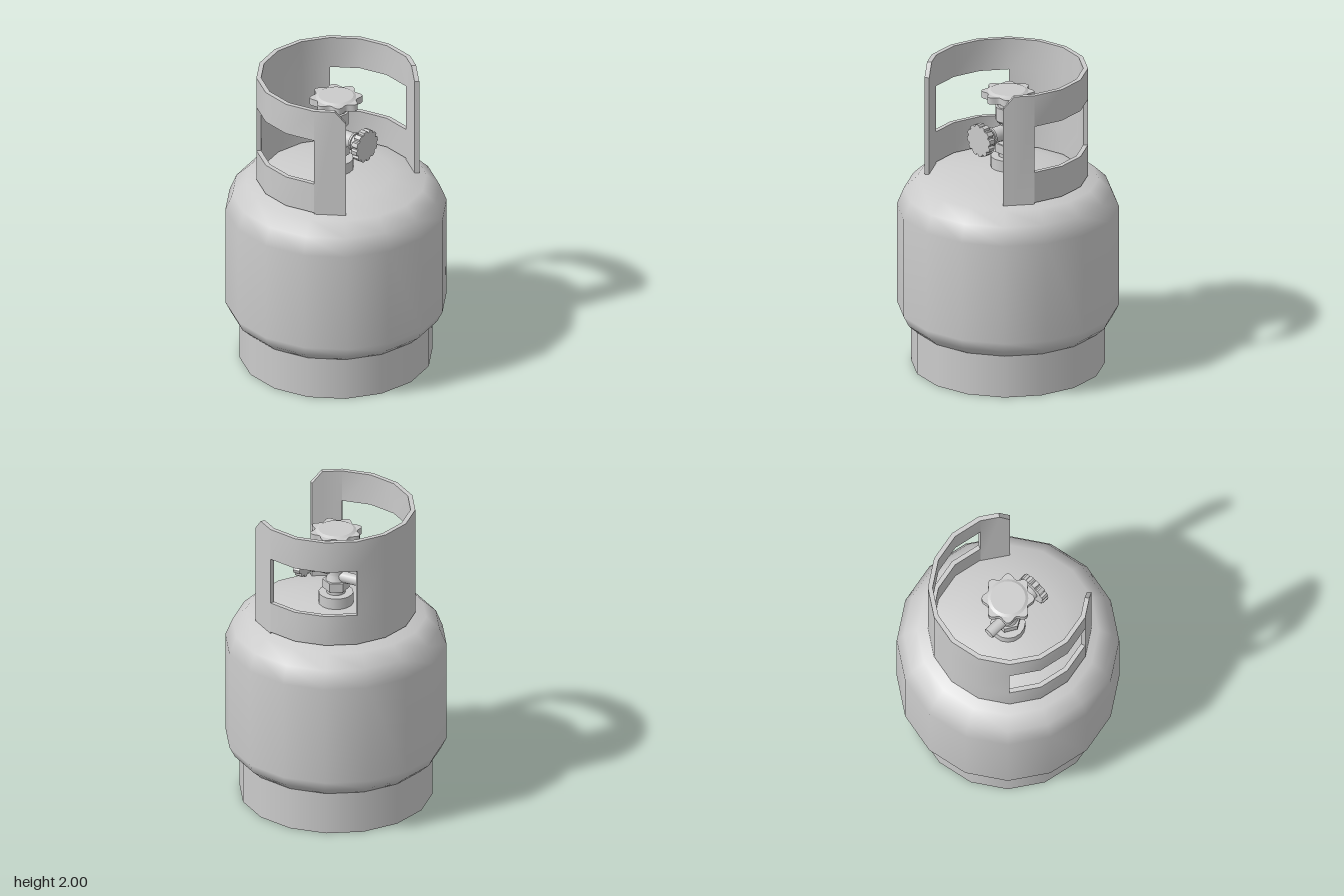
import * as THREE from 'three';
import { toCreasedNormals } from 'three/addons/utils/BufferGeometryUtils.js';

const material = new THREE.MeshStandardMaterial({ color: 0xcccccc });

function add(parent, name, geometry, x = 0, y = 0, z = 0) {
  const mesh = new THREE.Mesh(geometry, material);
  mesh.name = name;
  mesh.position.set(x, y, z);
  parent.add(mesh);
  return mesh;
}

// Turned part from [radius, height] pairs, bottom to top
function turned(profile, sides, crease) {
  const g = new THREE.LatheGeometry(profile.map(([r, y]) => new THREE.Vector2(r, y)), sides);
  return crease ? toCreasedNormals(g, crease) : g;
}

// Flat wheel whose rim follows radius(angle)
function wheel(radius, steps, depth) {
  const points = [];
  for (let i = 0; i < steps; i++) {
    const a = (i / steps) * Math.PI * 2;
    points.push(new THREE.Vector2(Math.cos(a) * radius(a, i), Math.sin(a) * radius(a, i)));
  }
  const g = new THREE.ExtrudeGeometry(new THREE.Shape(points), { depth, bevelEnabled: false });
  return toCreasedNormals(g, 0.6);
}

// Guard collar: twelve facets of a sixteen-sided ring, u counts the facets
function collarGeometry() {
  const outer = 0.515, inner = 0.485, zc = 0.015, positions = [];
  const corner = (k, r, y) => {
    const a = Math.PI / 4 + k * Math.PI / 8;
    return new THREE.Vector3(Math.sin(a) * r, y, Math.cos(a) * r + zc);
  };
  const at = (u, y, r) => {
    const k = Math.min(Math.floor(u), 11);
    return corner(k, r, y).lerp(corner(k + 1, r, y), u - k);
  };
  const quad = (a, b, c, d) => {
    for (const p of [a, b, c, a, c, d]) positions.push(p.x, p.y, p.z);
  };
  // Inner and outer faces of a band given as [u, bottom, top]
  const band = (columns) => {
    for (let i = 0; i + 1 < columns.length; i++) {
      const [u, b, t] = columns[i], [v, c, s] = columns[i + 1];
      quad(at(u, b, outer), at(v, c, outer), at(v, s, outer), at(u, t, outer));
      quad(at(v, c, inner), at(u, b, inner), at(u, t, inner), at(v, s, inner));
    }
  };
  const edge = (loop) => loop.forEach(([u, y], i) => {
    const [v, w] = loop[(i + 1) % loop.length];
    quad(at(u, y, outer), at(u, y, inner), at(v, w, inner), at(v, w, outer));
  });
  const row = (from, to, ...ys) => {
    const n = Math.abs(to - from), s = Math.sign(to - from);
    return Array.from({ length: n + 1 }, (_, i) => [from + i * s, ...ys]);
  };
  const foot = 1.265, bottom = 1.275, sill = 1.48, lintel = 1.79, top = 2, notch = 1.92;

  band([[0, foot, notch], [0.35, foot, top], [1, foot, top]]);
  band([[11, foot, top], [11.65, foot, top], [12, foot, notch]]);
  band(row(1, 11, bottom, sill));
  band(row(1, 11, lintel, top));
  band(row(4, 8, sill, lintel));

  edge([[0, foot], [1, foot], ...row(1, 11, bottom), [11, foot], [12, foot],
    [12, notch], [11.65, top], ...row(11, 1, top), [0.35, top], [0, notch]]);
  for (const u of [1, 8]) edge([...row(u, u + 3, lintel), ...row(u + 3, u, sill)]);

  const g = new THREE.BufferGeometry();
  g.setAttribute('position', new THREE.Float32BufferAttribute(positions, 3));
  return toCreasedNormals(g, 0.5);
}

export function createModel() {
  const model = new THREE.Group();
  model.name = 'gasCylinder';

  // Tank and foot ring
  add(model, 'tank', turned([[0, 0.2], [0.4, 0.22], [0.61, 0.28], [0.665, 0.33], [0.7, 0.4],
    [0.7, 1.06], [0.655, 1.17], [0.57, 1.25], [0.36, 1.295], [0.16, 1.325], [0, 1.33]], 16));
  add(model, 'footRing', new THREE.CylinderGeometry(0.61, 0.61, 0.28, 16), 0, 0.14, 0);

  add(model, 'guardCollar', collarGeometry());

  // Valve body
  const valve = new THREE.Group();
  valve.name = 'valve';
  model.add(valve);
  add(valve, 'neckRing', new THREE.CylinderGeometry(0.11, 0.11, 0.09, 16), 0, 1.355, 0);
  add(valve, 'valveStem', turned([[0.06, 1.39], [0.06, 1.47], [0.065, 1.49], [0.05, 1.53],
    [0.05, 1.6], [0.062, 1.64]], 16, 0.5));
  const nut = new THREE.CylinderGeometry(0.085, 0.085, 0.06, 6);
  add(valve, 'hexNut', toCreasedNormals(nut, 0.3), 0, 1.46, 0).rotation.y = Math.PI / 2;
  add(valve, 'valveCap', turned([[0, 1.63], [0.068, 1.63], [0.08, 1.645], [0.08, 1.735],
    [0.065, 1.735], [0.065, 1.755], [0.055, 1.765], [0.03, 1.765], [0.03, 1.8]], 16, 0.5));

  // Top handwheel with eight soft lobes
  add(valve, 'handwheel', wheel((a) => 0.15 + 0.017 * Math.cos(8 * a), 80, 0.045), 0, 1.79, 0)
    .rotation.x = -Math.PI / 2;
  add(valve, 'handwheelCrown', new THREE.CylinderGeometry(0.11, 0.128, 0.01, 32), 0, 1.84, 0);

  // Front outlet with its notched plug
  add(valve, 'frontOutlet', turned([[0.05, 0], [0.05, 0.145], [0.06, 0.145], [0.06, 0.16],
    [0.052, 0.16], [0.052, 0.22]], 16, 0.5), 0, 1.565, 0).rotation.x = Math.PI / 2;
  add(valve, 'outletPlug', wheel((a, i) => (i % 6 < 4 ? 0.106 : 0.093), 72, 0.045),
    0, 1.565, 0.208);

  // Rear relief outlet
  add(valve, 'rearOutlet', new THREE.CylinderGeometry(0.036, 0.036, 0.17, 16), 0, 1.515, -0.085)
    .rotation.x = Math.PI / 2;

  return model;
}
